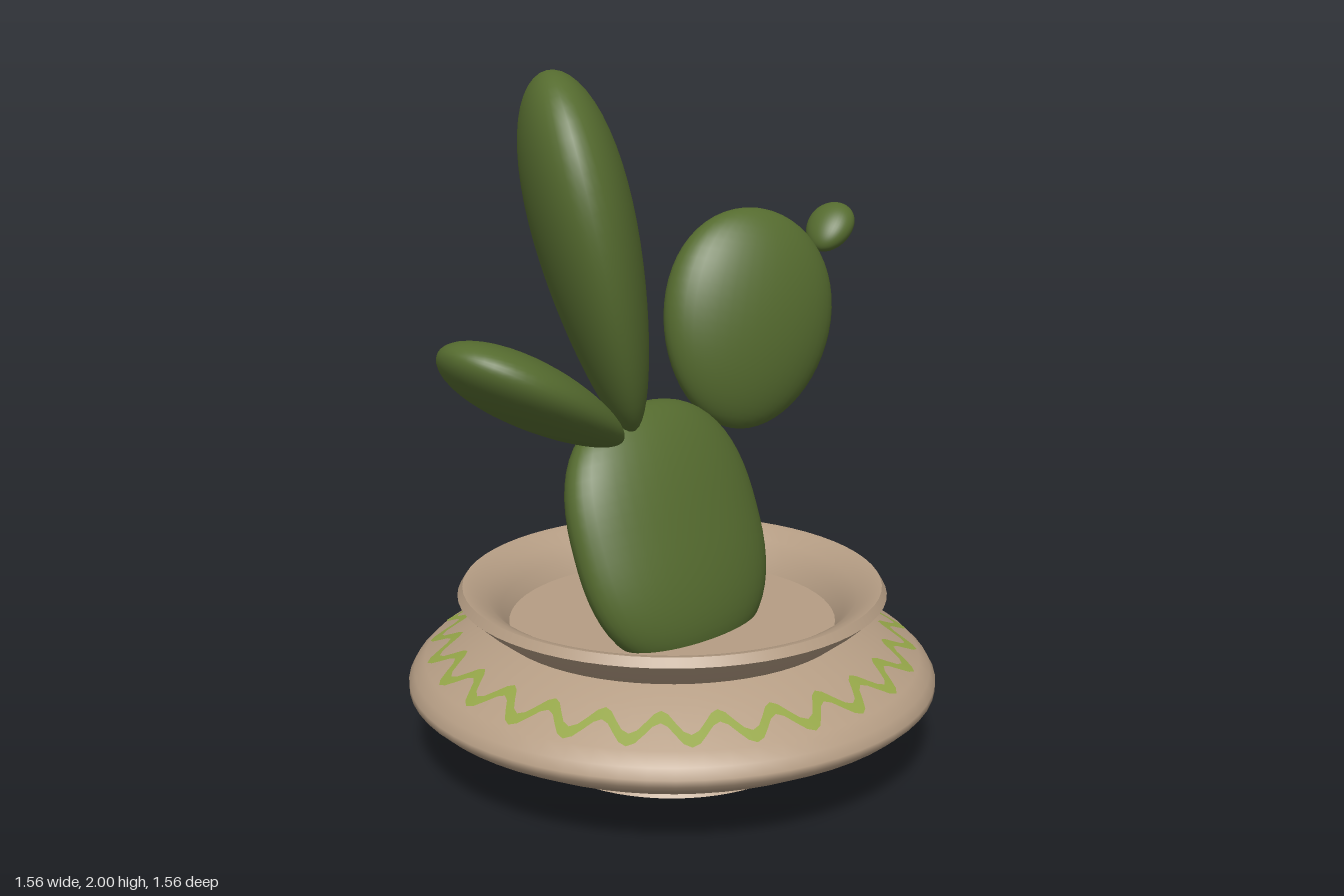
import * as THREE from 'three';
import { mergeVertices } from 'three/addons/utils/BufferGeometryUtils.js';

const clay = new THREE.MeshStandardMaterial({ color: 0xb59d84 });
clay.name = 'clay';
const green = new THREE.MeshStandardMaterial({ color: 0x556b2f });
green.name = 'cactusGreen';
const lime = new THREE.MeshStandardMaterial({ color: 0x94a548, side: THREE.DoubleSide });
lime.name = 'limePaint';

function add(parent, name, geometry, material) {
  const mesh = new THREE.Mesh(geometry, material);
  mesh.name = name;
  parent.add(mesh);
  return mesh;
}

// Turned section of the pot; separate sections keep the edges between them sharp
function turned(points) {
  return new THREE.LatheGeometry(points.map(([r, y]) => new THREE.Vector2(r, y)), 64);
}

// Flattened egg from base to tip: width and depth are half sizes, normal is the thin direction,
// taper narrows the base and power squares the outline
function pad({ base, tip, normal, width, depth, taper = 0, power = 2 }) {
  let geo = new THREE.SphereGeometry(1, 40, 28);
  const p = geo.attributes.position;
  for (let i = 0; i < p.count; i++) {
    const x = p.getX(i), v = p.getY(i), z = p.getZ(i);
    const ring = Math.hypot(x, z);
    if (ring < 1e-5) { p.setXYZ(i, 0, v, 0); continue; }
    const s = Math.pow(Math.max(0, 1 - Math.pow(Math.abs(v), power)), 1 / power) * (1 + taper * v) / ring;
    p.setXYZ(i, x * s, v, z * s);
  }
  const from = new THREE.Vector3(...base), to = new THREE.Vector3(...tip);
  const along = to.clone().sub(from);
  const half = along.length() / 2;
  along.normalize();
  const thin = new THREE.Vector3(...normal);
  thin.addScaledVector(along, -thin.dot(along)).normalize();
  const across = along.clone().cross(thin);
  geo.scale(width, half, depth);
  geo.applyMatrix4(new THREE.Matrix4().makeBasis(across, along, thin).setPosition(from.lerp(to, 0.5)));
  // Weld the seam so the shading is smooth all round
  geo.deleteAttribute('uv');
  geo.deleteAttribute('normal');
  geo = mergeVertices(geo, 1e-5);
  geo.computeVertexNormals();
  return geo;
}

// Painted wave lying on the sloped shoulder between two profile points
function waveBand([r0, y0], [r1, y1], waves) {
  const steps = waves * 8, pos = [], index = [];
  const len = Math.hypot(r1 - r0, y1 - y0), lift = 0.004;
  const nr = (y1 - y0) / len * lift, ny = (r0 - r1) / len * lift;
  for (let i = 0; i <= steps; i++) {
    const a = i / steps * Math.PI * 2;
    const mid = 0.47 - 0.27 * Math.cos(a * waves);
    for (const t of [mid - 0.14, mid + 0.14]) {
      const r = r0 + (r1 - r0) * t + nr;
      pos.push(Math.sin(a) * r, y0 + (y1 - y0) * t + ny, Math.cos(a) * r);
    }
    if (i < steps) {
      const k = i * 2;
      index.push(k, k + 2, k + 1, k + 2, k + 3, k + 1);
    }
  }
  const geo = new THREE.BufferGeometry();
  geo.setAttribute('position', new THREE.Float32BufferAttribute(pos, 3));
  geo.setIndex(index);
  geo.computeVertexNormals();
  return geo;
}

export function createModel() {
  const model = new THREE.Group();
  model.name = 'pottedCactus';

  // Pot
  const pot = new THREE.Group();
  pot.name = 'pot';
  model.add(pot);
  const bandLow = [0.73, 0.3], bandHigh = [0.6, 0.37];
  add(pot, 'base', turned([[0, 0], [0.07, 0.002], [0.415, 0.012]]), clay);
  add(pot, 'foot', turned([[0.415, 0.012], [0.385, 0.05]]), clay);
  add(pot, 'body', turned([
    [0.385, 0.05], [0.53, 0.085], [0.66, 0.145], [0.75, 0.195], [0.778, 0.22],
    [0.778, 0.24], [0.762, 0.268], bandLow, bandHigh, [0.525, 0.402],
  ]), clay);
  add(pot, 'neck', turned([[0.525, 0.402], [0.58, 0.445], [0.63, 0.49]]), clay);
  add(pot, 'rim', turned([[0.63, 0.49], [0.615, 0.515]]), clay);
  add(pot, 'innerLip', turned([
    [0.615, 0.515], [0.59, 0.51], [0.545, 0.485], [0.505, 0.445], [0.48, 0.398],
  ]), clay);
  add(pot, 'paintedWave', waveBand(bandLow, bandHigh, 26), lime);

  // Soil
  const soil = add(pot, 'soil', new THREE.CircleGeometry(0.485, 64), clay);
  soil.rotation.x = -Math.PI / 2;
  soil.position.y = 0.4;

  // Cactus pads
  const cactus = new THREE.Group();
  cactus.name = 'cactus';
  model.add(cactus);
  const pads = {
    trunkPad: {
      base: [-0.03, 0.32, 0.15], tip: [-0.03, 1.035, -0.12], normal: [0, 0.36, 0.93],
      width: 0.355, depth: 0.14, power: 2.5,
    },
    tallPad: {
      base: [-0.17, 1.0, 0.01], tip: [-0.265, 1.995, -0.22], normal: [0.8, 0, 0.6],
      width: 0.275, depth: 0.14, taper: 0.28,
    },
    leftPad: {
      base: [0.3, 0.91, -0.04], tip: [0.49, 1.55, -0.09], normal: [-0.32, 0, 0.95],
      width: 0.285, depth: 0.13, taper: 0.08,
    },
    leftBud: {
      base: [0.64, 1.42, 0.01], tip: [0.772, 1.538, -0.03], normal: [-0.65, 0.76, 0.1],
      width: 0.075, depth: 0.052, taper: 0.1,
    },
    rightPad: {
      base: [-0.2, 0.975, -0.03], tip: [-0.755, 1.305, -0.06], normal: [0.52, 0.85, 0],
      width: 0.195, depth: 0.09, taper: 0.2,
    },
  };
  for (const [name, spec] of Object.entries(pads)) add(cactus, name, pad(spec), green);

  return model;
}
